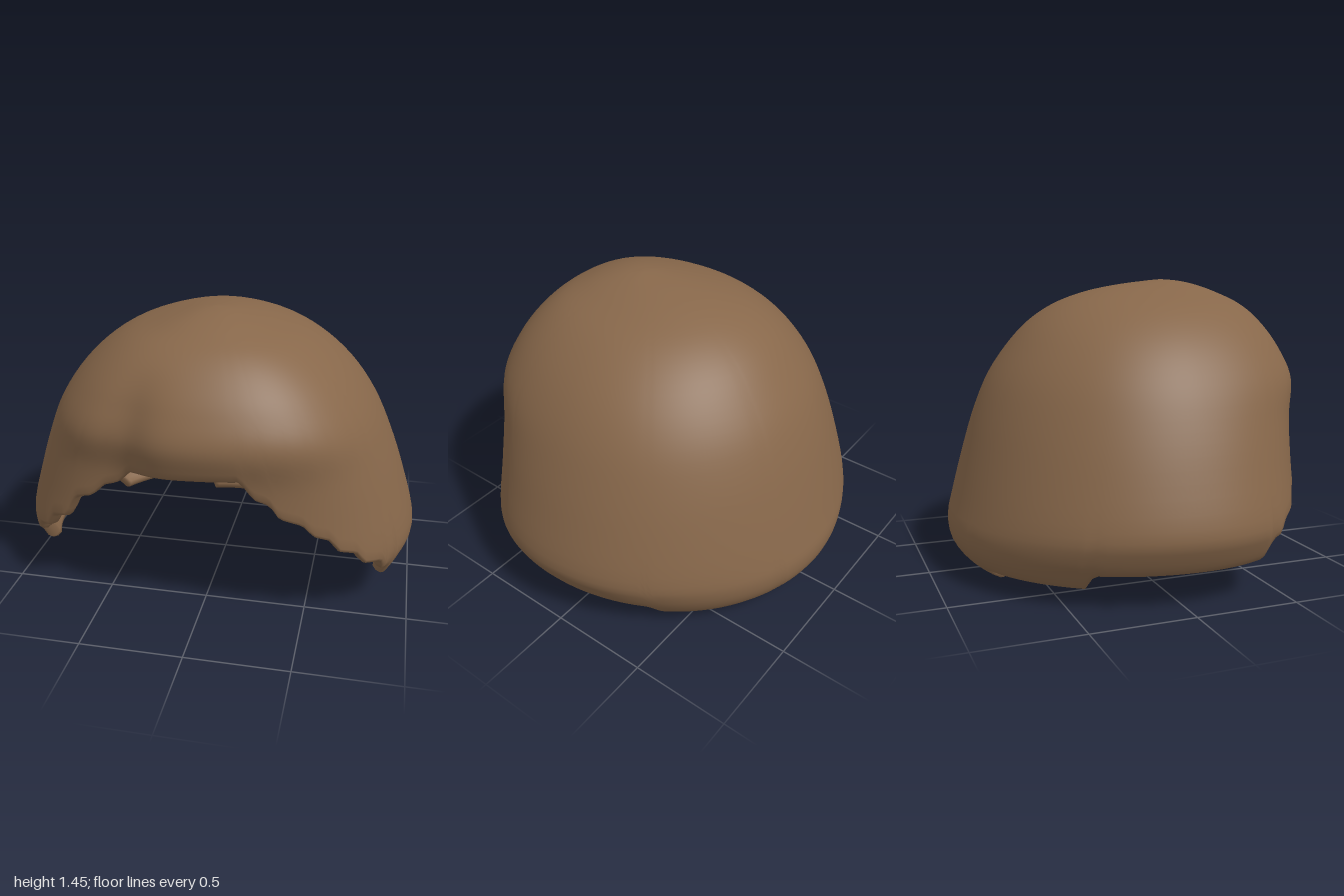
import * as THREE from 'three';

// Levels from crown to hem: [height, half width, front z, back z, centre z]
const LEVELS = [
  [1.463, 0, 0.25, 0.25, 0.25],
  [1.455, 0.075, 0.34, 0.17, 0.245],
  [1.435, 0.16, 0.43, 0.01, 0.23],
  [1.40, 0.275, 0.525, -0.16, 0.19],
  [1.34, 0.43, 0.64, -0.32, 0.17],
  [1.25, 0.565, 0.74, -0.455, 0.15],
  [1.13, 0.685, 0.825, -0.565, 0.13],
  [0.98, 0.785, 0.88, -0.665, 0.12],
  [0.80, 0.865, 0.835, -0.74, 0.11],
  [0.60, 0.935, 0.82, -0.80, 0.1],
  [0.37, 0.998, 0.82, -0.86, 0.1],
  [0.26, 0.97, 0.82, -0.885, 0.1],
  [0.16, 0.91, 0.80, -0.87, 0.1],
  [0.07, 0.85, 0.77, -0.80, 0.1],
  [0.0, 0.77, 0.71, -0.69, 0.1],
];

// Stepped hem: [angle from the front, height], for each side and the shared back
const HEM_BACK = [
  [1.21, 0.178], [2.11, 0.172], [2.17, 0.095], [2.81, 0.088], [2.88, 0.012], [3.15, 0.01],
];
const HEM_LEFT = [
  [0, 0.83], [0.27, 0.84], [0.33, 0.75], [0.41, 0.72], [0.45, 0.65], [0.57, 0.61], [0.62, 0.55],
  [0.71, 0.52], [0.76, 0.455], [0.86, 0.43], [0.91, 0.365], [1.04, 0.34], [1.10, 0.27],
  [1.17, 0.26], ...HEM_BACK,
];
const HEM_RIGHT = [
  [0, 0.83], [0.38, 0.81], [0.45, 0.74], [0.53, 0.715], [0.59, 0.65], [0.70, 0.62], [0.75, 0.50],
  [0.88, 0.465], [0.92, 0.39], [1.04, 0.36], [1.10, 0.29], [1.17, 0.28], ...HEM_BACK,
];

const COLUMNS = 240, ROWS = 44, THICKNESS = 0.07, BULGE = 0.025;

const spline = (pick) => new THREE.CatmullRomCurve3(
  LEVELS.map((l) => new THREE.Vector3(...pick(l))), false, 'catmullrom', 0.5);
const widthFront = spline((l) => [l[1], l[0], l[2]]);
const backCentre = spline((l) => [l[3], l[0], l[4]]);

function hemHeight(angle) {
  const table = angle >= 0 ? HEM_LEFT : HEM_RIGHT;
  const a = Math.abs(angle);
  let k = 1;
  while (k < table.length - 1 && table[k][0] < a) k++;
  const [a0, y0] = table[k - 1], [a1, y1] = table[k];
  return THREE.MathUtils.lerp(y0, y1, (a - a0) / (a1 - a0));
}

// Point on the outer skin: angle around, t from crown (0) to lowest hem (1)
function skin(angle, t) {
  const { x: w, y, z: front } = widthFront.getPoint(t);
  const { x: back, z: centre } = backCentre.getPoint(t);
  const s = Math.sin(angle), c = Math.cos(angle);
  const reach = c > 0 ? (front - centre) * (1 + 0.2 * s * s) : centre - back;
  // soft hollow on one side of the fringe
  const hollow = 1 - 0.065 * Math.exp(-(((angle + 0.42) / 0.19) ** 2)) * THREE.MathUtils.smoothstep(t, 0.3, 0.5);
  return new THREE.Vector3(w * s * hollow, y, centre + reach * c * hollow);
}

// Parameter at which the skin reaches a height
function levelAt(height) {
  let lo = 0, hi = 1;
  for (let i = 0; i < 24; i++) {
    const mid = (lo + hi) / 2;
    if (widthFront.getPoint(mid).y > height) lo = mid; else hi = mid;
  }
  return lo;
}

// One strip from the crown down the outside, round the hem and up the inside
function column(angle) {
  const hemY = hemHeight(angle);
  // leave room for the rounded hem where the skin falls steeply
  const end = levelAt(hemY + BULGE * 0.5 * Math.min(1, hemY / 0.2));
  const outer = [], inner = [];
  let normal, down;
  for (let i = 0; i <= ROWS; i++) {
    const t = end * i / ROWS, e = 0.002, u = Math.max(t, 0.004);
    const p = skin(angle, t);
    down = skin(angle, Math.min(u + e, 1)).sub(skin(angle, u - e)).normalize();
    const around = skin(angle + e, u).sub(skin(angle - e, u));
    normal = i === 0 ? new THREE.Vector3(0, 1, 0) : down.clone().cross(around).normalize();
    outer.push(p);
    inner.unshift(p.clone().addScaledVector(normal, -THICKNESS));
  }
  const hem = [0.25, 0.5, 0.75].map((f) => outer[ROWS].clone()
    .addScaledVector(normal, -THICKNESS / 2 * (1 - Math.cos(f * Math.PI)))
    .addScaledVector(down, BULGE * Math.sin(f * Math.PI)));
  return [...outer, ...hem, ...inner];
}

export function createModel() {
  const positions = [], index = [];
  let count = 0;
  for (let j = 0; j < COLUMNS; j++) {
    const strip = column(-Math.PI + 2 * Math.PI * j / COLUMNS);
    count = strip.length;
    strip.forEach((p) => positions.push(p.x, p.y, p.z));
  }
  for (let j = 0; j < COLUMNS; j++) {
    const here = j * count, next = ((j + 1) % COLUMNS) * count;
    for (let i = 0; i < count - 1; i++) {
      if (i > 0) index.push(here + i, next + i + 1, next + i);
      if (i < count - 2) index.push(here + i, here + i + 1, next + i + 1);
    }
  }
  const geometry = new THREE.BufferGeometry();
  geometry.setAttribute('position', new THREE.Float32BufferAttribute(positions, 3));
  geometry.setIndex(index);
  geometry.computeVertexNormals();
  // shared straight normals at the two crown tips
  for (let j = 0; j < COLUMNS; j++) {
    geometry.attributes.normal.setXYZ(j * count, 0, 1, 0);
    geometry.attributes.normal.setXYZ((j + 1) * count - 1, 0, -1, 0);
  }
  // rest the lowest point of the hem on the floor
  geometry.computeBoundingBox();
  geometry.translate(0, -geometry.boundingBox.min.y, 0);

  const hair = new THREE.Mesh(geometry, new THREE.MeshStandardMaterial({ color: 0x87674a }));
  hair.name = 'hairCap';
  const group = new THREE.Group();
  group.name = 'hair';
  group.add(hair);
  return group;
}
